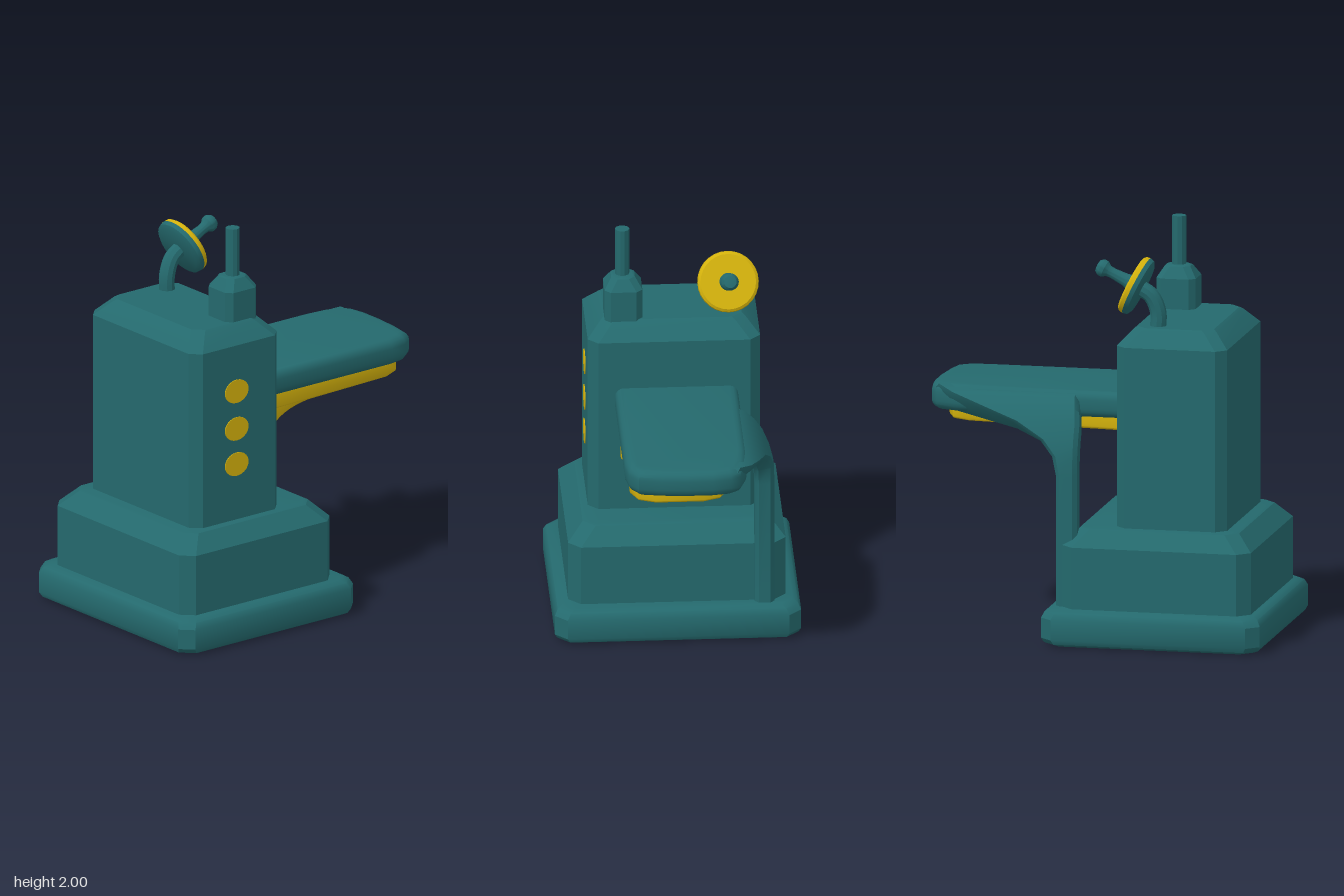
import * as THREE from 'three';
import { toCreasedNormals } from 'three/addons/utils/BufferGeometryUtils.js';

const teal = new THREE.MeshStandardMaterial({ color: 0x24696d });
teal.name = 'teal paint';
const yellow = new THREE.MeshStandardMaterial({ color: 0xd3b10c });
yellow.name = 'yellow paint';

const V = (x, y, z) => new THREE.Vector3(x, y, z);

function add(parent, name, geometry, material, crease = 0.6) {
  const mesh = new THREE.Mesh(toCreasedNormals(geometry, crease), material);
  mesh.name = name;
  parent.add(mesh);
  return mesh;
}

// Skin a stack of rings, bottom to top, each counter-clockwise from above
function loft(rings) {
  const pos = [], n = rings[0].length;
  const tri = (...p) => p.forEach((v) => pos.push(v.x, v.y, v.z));
  for (let r = 0; r + 1 < rings.length; r++) {
    for (let i = 0; i < n; i++) {
      const j = (i + 1) % n, a = rings[r], b = rings[r + 1];
      tri(a[i], a[j], b[j]);
      tri(a[i], b[j], b[i]);
    }
  }
  const bottom = rings[0], top = rings[rings.length - 1];
  for (let i = 1; i < n - 1; i++) {
    tri(bottom[0], bottom[i + 1], bottom[i]);
    tri(top[0], top[i], top[i + 1]);
  }
  const g = new THREE.BufferGeometry();
  g.setAttribute('position', new THREE.Float32BufferAttribute(pos, 3));
  g.computeVertexNormals();
  return g;
}

// Rectangle with cut corners, as [x, z] offsets
function octagon(hx, hz, cx, cz) {
  return [[hx, hz - cz], [hx, cz - hz], [hx - cx, -hz], [cx - hx, -hz],
    [-hx, cz - hz], [-hx, hz - cz], [cx - hx, hz], [hx - cx, hz]];
}

// Block with bevelled corners; levels are [y, inset]
function block(x0, x1, z0, z1, corner, levels) {
  return loft(levels.map(([y, inset]) =>
    octagon((x1 - x0) / 2 - inset, (z1 - z0) / 2 - inset, corner, corner)
      .map(([x, z]) => V(x + (x0 + x1) / 2, y, z + (z0 + z1) / 2))));
}

// Extrude a plan outline upward from y; plan points are [x, z]
function slab(points, y, height, bevel, hole) {
  const path = (list) => list.map(([x, z]) => new THREE.Vector2(x, -z));
  const shape = new THREE.Shape(path(points));
  if (hole) shape.holes.push(new THREE.Path(path(hole)));
  return new THREE.ExtrudeGeometry(shape, {
    depth: height - 2 * bevel, bevelEnabled: true, bevelThickness: bevel,
    bevelSize: bevel, bevelOffset: -bevel, bevelSegments: 4,
  }).rotateX(-Math.PI / 2).translate(0, y + bevel, 0);
}

export function createModel() {
  const model = new THREE.Group();
  model.name = 'machine';

  // Stepped body
  add(model, 'base', block(-0.86, 0.23, -0.6, 0.6, 0.06,
    [[0, 0.035], [0.012, 0.012], [0.035, 0], [0.135, 0], [0.165, 0.015], [0.18, 0.04]]), teal);
  add(model, 'plinth', block(-0.8, 0.14, -0.53, 0.53, 0.06,
    [[0.17, 0], [0.485, 0], [0.565, 0.075], [0.57, 0.09]]), teal, 0.4);
  add(model, 'tower', block(-0.66, -0.11, -0.42, 0.42, 0.05,
    [[0.56, 0], [1.465, 0], [1.54, 0.07], [1.55, 0.085]]), teal, 0.4);

  // Three round buttons on the front
  for (const y of [1.23, 1.037, 0.855]) {
    const button = add(model, 'button', new THREE.CylinderGeometry(1, 1, 0.008, 20), yellow);
    button.rotation.x = Math.PI / 2;
    button.scale.set(0.073, 1, 0.06);
    button.position.set(-0.4, y, 0.42);
  }

  // Post on top
  add(model, 'postBlock', block(-0.38, -0.185, 0.15, 0.335, 0.03,
    [[1.54, 0], [1.7, 0], [1.755, 0.035], [1.76, 0.045]]), teal, 0.4);
  add(model, 'rod', new THREE.CylinderGeometry(0.035, 0.035, 0.27, 10)
    .translate(-0.283, 1.865, 0.245), teal);

  // Tilted hand wheel on a bent stem
  const stem = new THREE.CatmullRomCurve3([V(-0.29, 1.53, -0.255), V(-0.29, 1.62, -0.255),
    V(-0.255, 1.7, -0.26), V(-0.18, 1.745, -0.265)]);
  add(model, 'wheelStem', new THREE.TubeGeometry(stem, 12, 0.04, 10), teal);
  const wheel = new THREE.Group();
  wheel.name = 'handWheel';
  wheel.position.set(-0.185, 1.745, -0.265);
  wheel.rotation.z = -1.125;
  model.add(wheel);
  const disc = (name, points, material) => add(wheel, name,
    new THREE.LatheGeometry(points.map(([r, y]) => new THREE.Vector2(r, y)), 28), material);
  disc('wheelBack', [[0, -0.033], [0.125, -0.033], [0.145, -0.022], [0.15, 0], [0, 0]], teal);
  disc('wheelFace', [[0, 0], [0.15, 0], [0.147, 0.02], [0.135, 0.03], [0, 0.03]], yellow);
  disc('wheelHandle', [[0.045, 0.025], [0.032, 0.06], [0.026, 0.13], [0.028, 0.155],
    [0.042, 0.175], [0.042, 0.195], [0.03, 0.213], [0, 0.218]], teal);

  // Side table
  add(model, 'table', slab([[-0.15, 0.29], [0.68, 0.29], [0.77, 0.275], [0.83, 0.23], [0.85, 0.12],
    [0.86, 0], [0.86, -0.13], [0.845, -0.22], [0.81, -0.27], [0.72, -0.3], [0.6, -0.31],
    [-0.15, -0.31]], 1.085, 0.135, 0.045), teal, 0.7);

  // Leg flaring into the table's rear edge: [outer y, z, inner y, z, x0, x1]
  const sections = [
    [0.17, -0.47, 0.17, -0.375, 0.07, 0.175],
    [0.82, -0.47, 0.82, -0.375, 0.07, 0.175],
    [0.92, -0.468, 0.9, -0.37, 0.07, 0.195],
    [1.0, -0.448, 0.965, -0.355, 0.07, 0.26],
    [1.08, -0.415, 1.02, -0.33, 0.07, 0.4],
    [1.14, -0.375, 1.055, -0.29, 0.08, 0.58],
    [1.19, -0.325, 1.08, -0.23, 0.09, 0.74],
    [1.217, -0.265, 1.095, -0.19, 0.1, 0.82],
    [1.219, -0.18, 1.1, -0.15, 0.11, 0.82],
  ];
  add(model, 'supportLeg', loft(sections.map(([oy, oz, iy, iz, x0, x1]) =>
    octagon((x1 - x0) / 2, 0.5, 0.02, 0.2).map(([x, w]) => {
      const t = 0.5 - w;
      return V((x0 + x1) / 2 + x, iy + (oy - iy) * t, iz + (oz - iz) * t);
    }))), teal, 0.7);

  // Recessed trim under the table, rising slightly toward its tip
  const outline = (x0, x1, z0, z1, r) => [[x0, z1], [x1 - r, z1], [x1 - r * 0.3, z1 - r * 0.3],
    [x1, z1 - r], [x1, z0 + r], [x1 - r * 0.3, z0 + r * 0.3], [x1 - r, z0], [x0, z0]];
  const trim = slab(outline(-0.13, 0.785, -0.21, 0.265, 0.12), 1.01, 0.09, 0.012,
    outline(-0.05, 0.7, -0.12, 0.175, 0.08));
  const p = trim.attributes.position;
  for (let i = 0; i < p.count; i++) {
    if (p.getY(i) < 1.05) p.setY(i, p.getY(i) + 0.025 * Math.max(0, p.getX(i)));
  }
  add(model, 'tableTrim', trim, yellow);
  add(model, 'trimFloor', new THREE.BoxGeometry(0.8, 0.03, 0.36)
    .translate(0.32, 1.075, 0.03), yellow);

  // Curved bracket against the tower
  const profile = new THREE.Shape();
  profile.moveTo(-0.13, 1.06);
  profile.lineTo(-0.13, 0.835);
  profile.lineTo(-0.075, 0.845);
  profile.quadraticCurveTo(-0.055, 0.99, 0.2, 1.015);
  profile.lineTo(0.2, 1.06);
  add(model, 'bracket', new THREE.ExtrudeGeometry(profile, {
    depth: 0.11, bevelThickness: 0.02, bevelSize: 0.015, bevelOffset: -0.015,
    bevelSegments: 3, curveSegments: 10,
  }).translate(0, 0, 0.133), yellow);

  return model;
}
